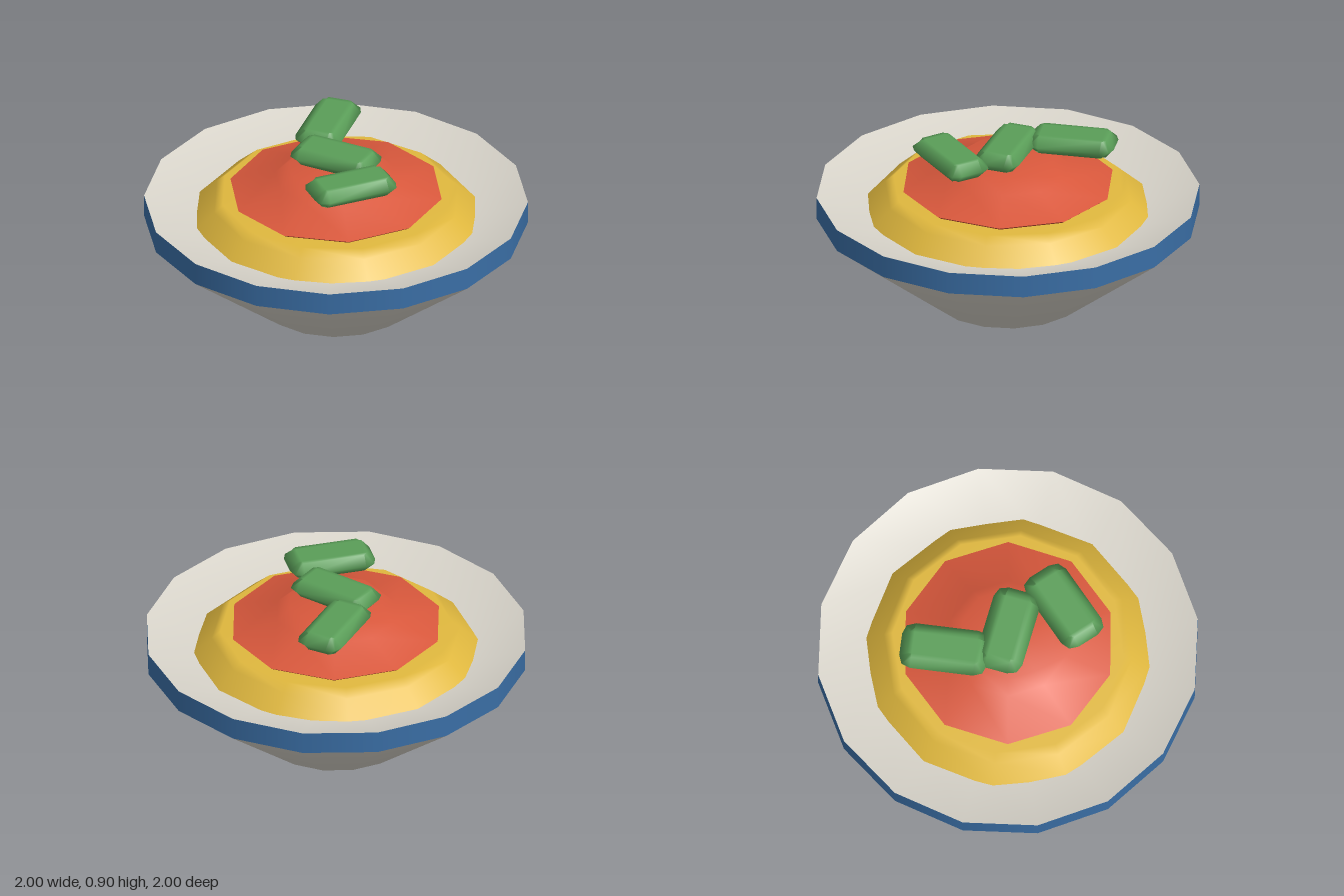
import * as THREE from 'three';
import { mergeVertices } from 'three/addons/utils/BufferGeometryUtils.js';

const material = (name, color) => {
  const m = new THREE.MeshStandardMaterial({ color });
  m.name = name;
  return m;
};

// Turned part from [radius, height] pairs, listed from the bottom up and over the top
function turned(name, profile, sides, mat, start = 0) {
  const points = profile.map(([r, y]) => new THREE.Vector2(r, y));
  const mesh = new THREE.Mesh(new THREE.LatheGeometry(points, sides, start), mat);
  mesh.name = name;
  return mesh;
}

// Soft pillow-edged block: widest at mid height, with clipped corners
function leafGeometry(length, height, width) {
  const bevel = 0.042;
  const geo = new THREE.BoxGeometry(1, 1, 1, 3, 2, 3);
  const p = geo.attributes.position;
  for (let i = 0; i < p.count; i++) {
    const x = p.getX(i), y = p.getY(i), z = p.getZ(i);
    const outerX = Math.abs(x) > 0.4, outerZ = Math.abs(z) > 0.4;
    const edge = Math.abs(y) > 0.4 ? bevel : 0;
    const corner = outerX && outerZ ? 0.018 : 0;
    const inX = outerX ? edge + corner : 0.065;
    const inZ = outerZ ? edge + corner : 0.065;
    p.setXYZ(i, Math.sign(x) * (length / 2 - inX), y * height, Math.sign(z) * (width / 2 - inZ));
  }
  geo.deleteAttribute('uv');
  geo.deleteAttribute('normal');
  const smooth = mergeVertices(geo);
  smooth.computeVertexNormals();
  return smooth;
}

export function createModel() {
  const group = new THREE.Group();
  const china = material('china white', 0xd8d4ca);
  china.side = THREE.DoubleSide;
  const blue = material('rim blue', 0x3a6ea5);
  const yellow = material('grain yellow', 0xe0b83e);
  const red = material('sauce red', 0xd9583c);
  const green = material('leaf green', 0x5a9e58);

  // Bowl
  group.add(turned('bowlOutside', [[0, 0], [0.4, 0], [1, 0.48]], 16, china));
  group.add(turned('bowlInside', [[1, 0.6], [0.7, 0.5], [0, 0.45]], 16, china));
  group.add(turned('rimBand', [[1, 0.48], [1, 0.6]], 16, blue));

  // Food layers
  group.add(turned('grainMound', [[0.78, 0.47], [0.74, 0.52], [0.65, 0.6], [0.605, 0.64], [0, 0.64]], 12, yellow));
  const turn = Math.PI / 2;
  group.add(turned('sauceUnderside', [[0, 0.645], [0.54, 0.645], [0.56, 0.66]], 10, red, turn));
  group.add(turned('sauceMound', [[0.56, 0.66], [0.32, 0.73], [0.25, 0.797], [0, 0.797]], 10, red, turn));

  // Garnish: x, z, turn
  const leaf = leafGeometry(0.46, 0.095, 0.25);
  [[-0.28, -0.205, -1.07], [0, 0, 0.35], [0.28, 0.155, 1.22]].forEach(([x, z, angle], i) => {
    const mesh = new THREE.Mesh(leaf, green);
    mesh.name = `garnishLeaf${i + 1}`;
    mesh.position.set(x, 0.853, z);
    mesh.rotation.y = angle;
    group.add(mesh);
  });
  return group;
}
